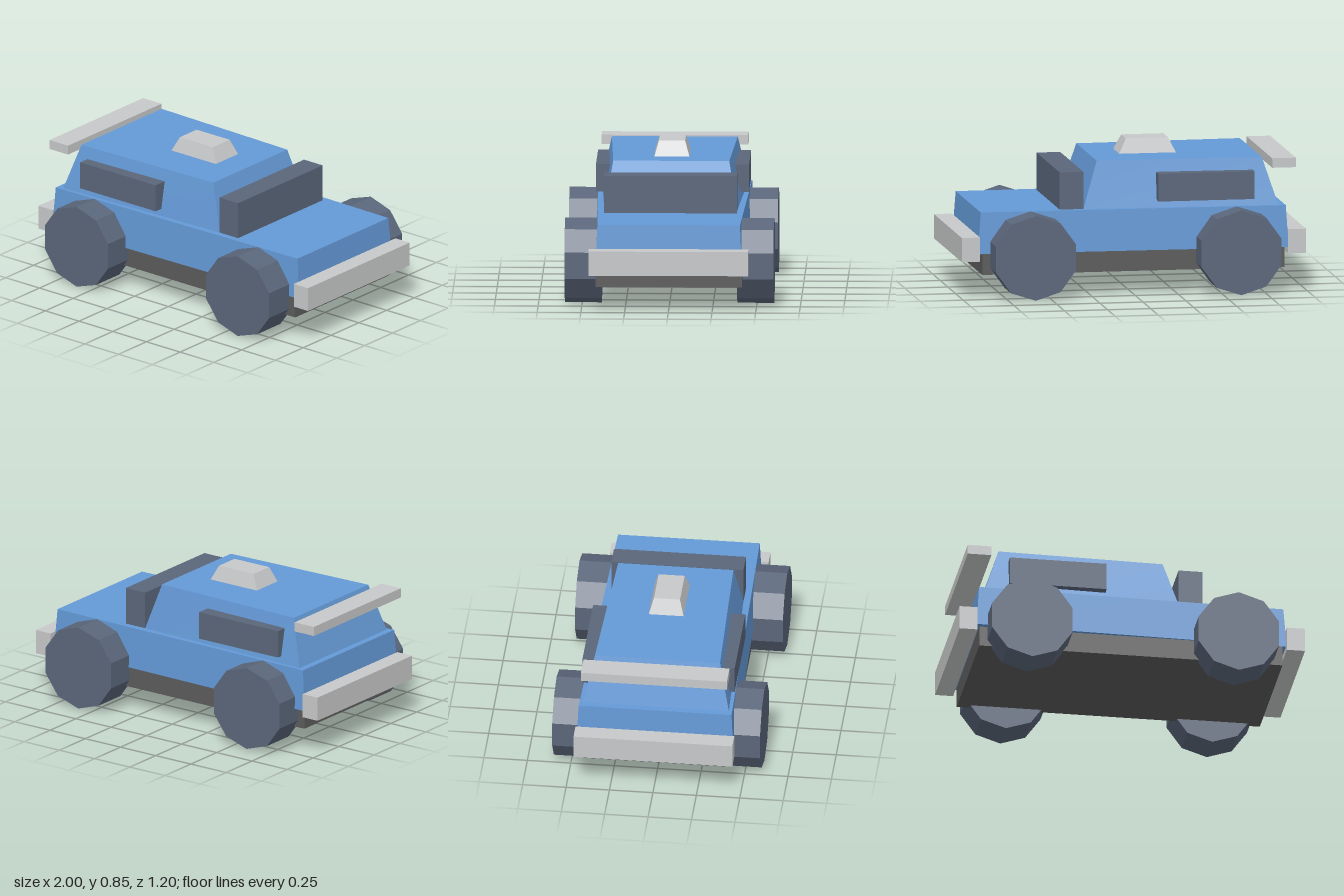
import * as THREE from 'three';

export function createModel() {
  const group = new THREE.Group();
  const mat = (name, color) => {
    const m = new THREE.MeshStandardMaterial({ color });
    m.name = name;
    return m;
  };
  const paint = mat('blue paint', 0x6499d6);
  const slate = mat('slate', 0x5a667a);
  const trim = mat('light grey trim', 0xc7c8c9);
  const dark = mat('dark grey', 0x5b5b5b);

  const add = (name, geometry, material) => {
    const mesh = new THREE.Mesh(geometry, material);
    mesh.name = name;
    group.add(mesh);
    return mesh;
  };

  // Box between x, y ranges, symmetric in z
  const slab = (name, material, x0, x1, y0, y1, halfZ) =>
    add(name, new THREE.BoxGeometry(x1 - x0, y1 - y0, halfZ * 2)
      .translate((x0 + x1) / 2, (y0 + y1) / 2, 0), material);

  // Tapered box: each level is { y, x0, x1, z0, z1 }, z0 / z1 being half widths at x0 / x1
  const tapered = (name, material, bottom, top) => {
    const g = new THREE.BoxGeometry(1, 1, 1);
    const p = g.attributes.position;
    for (let i = 0; i < p.count; i++) {
      const level = p.getY(i) > 0 ? top : bottom;
      const far = p.getX(i) > 0;
      const z = far ? level.z1 : level.z0;
      p.setXYZ(i, far ? level.x1 : level.x0, level.y, Math.sign(p.getZ(i)) * z);
    }
    g.computeVertexNormals();
    return add(name, g, material);
  };

  // Bodywork
  slab('chassis', dark, -0.88, 0.875, 0.13, 0.25, 0.42);
  tapered('lowerBody', paint,
    { y: 0.25, x0: -0.9, x1: 0.9, z0: 0.452, z1: 0.418 },
    { y: 0.49, x0: -0.885, x1: 0.882, z0: 0.44, z1: 0.408 });
  tapered('cabin', paint,
    { y: 0.49, x0: -0.845, x1: 0.28, z0: 0.42, z1: 0.38 },
    { y: 0.76, x0: -0.76, x1: 0.195, z0: 0.36, z1: 0.332 });
  tapered('roofLight', trim,
    { y: 0.76, x0: -0.307, x1: 0.022, z0: 0.1, z1: 0.1 },
    { y: 0.845, x0: -0.265, x1: -0.02, z0: 0.075, z1: 0.075 });

  // Fittings
  slab('windscreen', slate, 0.28, 0.418, 0.49, 0.705, 0.38);
  slab('spoiler', trim, -0.947, -0.81, 0.705, 0.76, 0.42);
  slab('noseBumper', trim, 0.895, 1, 0.213, 0.353, 0.457);
  slab('tailBumper', trim, -1, -0.895, 0.213, 0.353, 0.457);

  // Side windows and ten-sided wheels
  for (const s of [1, -1]) {
    add('sideWindow', new THREE.BoxGeometry(0.56, 0.16, 0.082), slate)
      .position.set(-0.425, 0.61, s * 0.397);
    for (const x of [-0.6, 0.595]) {
      const g = new THREE.CylinderGeometry(0.245, 0.245, 0.21, 10).rotateX(Math.PI / 2).toNonIndexed();
      g.computeVertexNormals();
      add('wheel', g, slate).position.set(x, 0.245, s * 0.493);
    }
  }
  return group;
}
